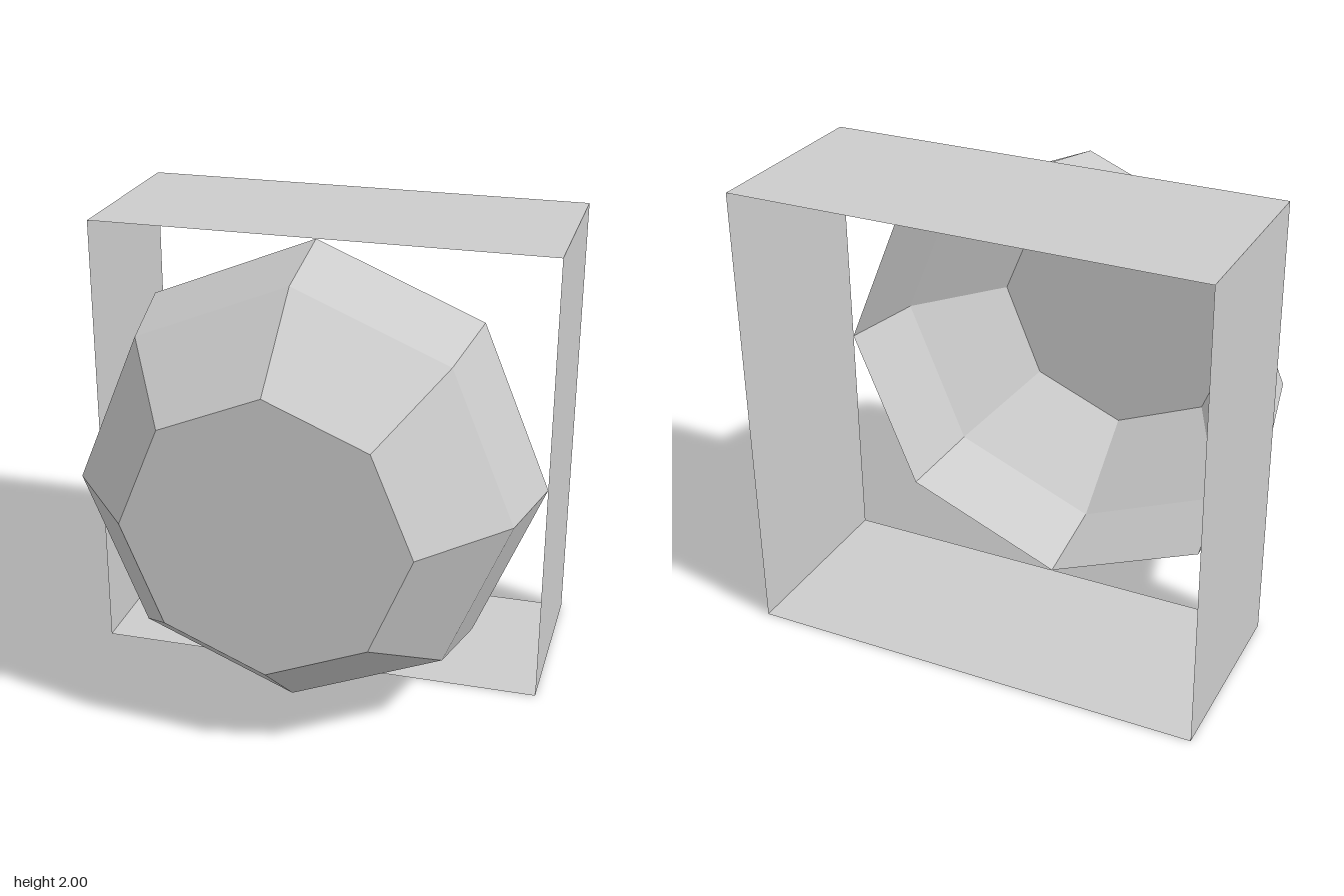
import * as THREE from 'three';

export function createModel() {
  const model = new THREE.Group();
  const material = new THREE.MeshStandardMaterial({
    color: 0xcccccc, flatShading: true, side: THREE.DoubleSide,
  });
  const back = -0.805, rim = 0.035, front = 0.805;

  // Geometries are made around y, then turned so their axis runs along z
  function addPart(name, geometry, z) {
    geometry.rotateX(Math.PI / 2);
    const mesh = new THREE.Mesh(geometry, material);
    mesh.name = name;
    mesh.position.set(0, 1, z);
    model.add(mesh);
  }

  // Square sleeve of four thin walls, open at front and back
  addPart('squareSleeve', new THREE.CylinderGeometry(
    Math.SQRT2, Math.SQRT2, rim - back, 4, 1, true, Math.PI / 4), (rim + back) / 2);

  // Hollow eight-sided dome: two bands and a flat front cap, open at the back
  const profile = [[1, rim], [0.92, 0.42], [0.6, front]]
    .map(([r, z]) => new THREE.Vector2(r, z));
  addPart('domeBands', new THREE.LatheGeometry(profile, 8), 0);
  addPart('domeCap', new THREE.CircleGeometry(0.6, 8).rotateX(-Math.PI / 2), front);

  return model;
}
